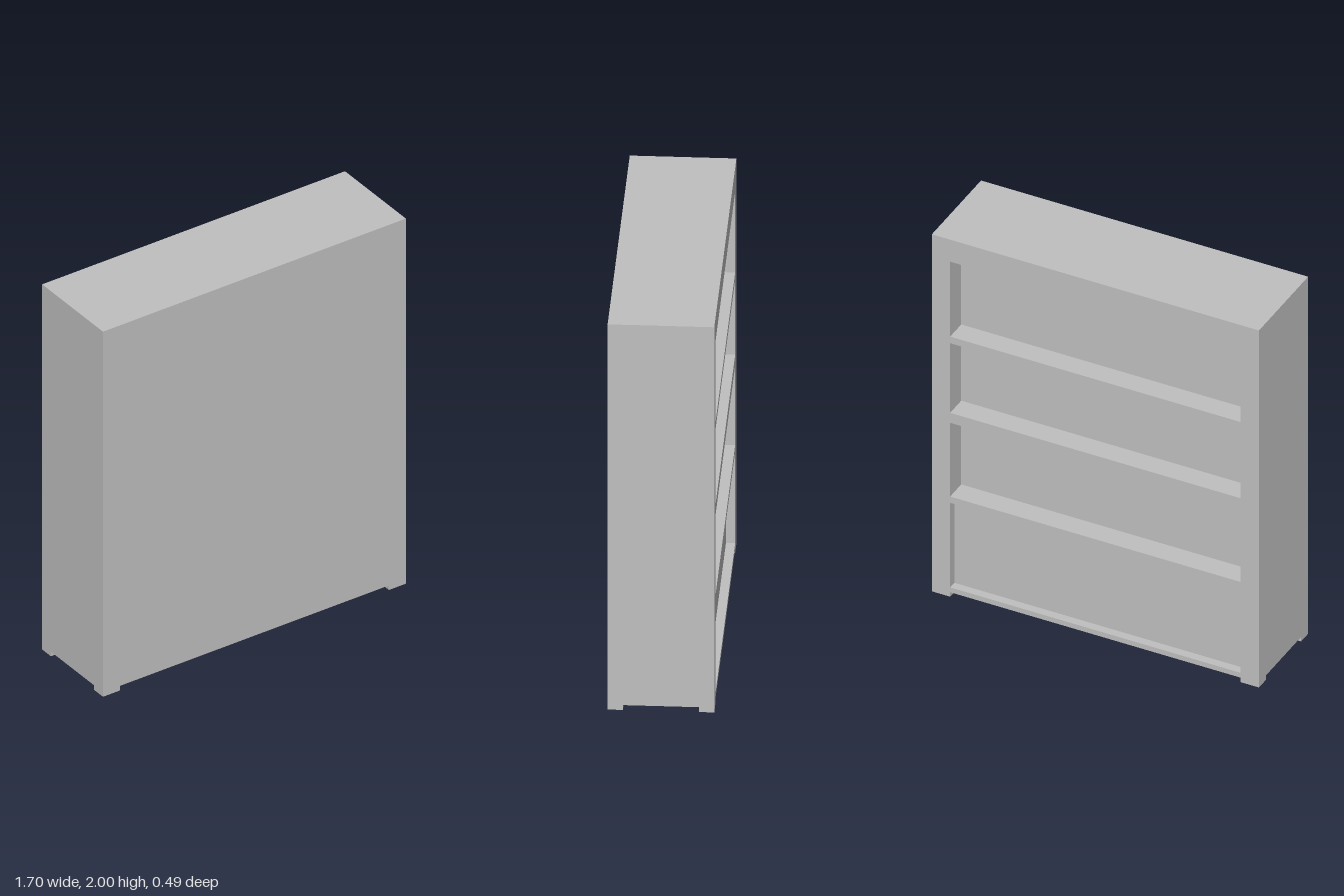
import * as THREE from 'three';

const W = 0.85, D = 0.2465, H = 2;         // half width, half depth, height
const FOOT_W = 0.095, FOOT_D = 0.071, FOOT_H = 0.025;
const INNER = W - FOOT_W;                  // half width of the bays
const BAY_BACK = -0.135;                   // z of the deep bays' inner wall
const LOW_BACK = -0.204;                   // z of the shallow bottom bay's wall
const BAYS = [[0.052, 0.526], [0.561, 0.974], [1.03, 1.42], [1.457, 1.877]];

export function createModel() {
  const group = new THREE.Group();
  const grey = new THREE.MeshStandardMaterial({ color: 0xc0c0c0 });
  grey.name = 'grey';

  const add = (name, geometry) => {
    const mesh = new THREE.Mesh(geometry, grey);
    mesh.name = name;
    group.add(mesh);
    return mesh;
  };

  // Box given by its minimum and maximum corners
  const box = (name, x0, x1, y0, y1, z0, z1) =>
    add(name, new THREE.BoxGeometry(x1 - x0, y1 - y0, z1 - z0))
      .position.set((x0 + x1) / 2, (y0 + y1) / 2, (z0 + z1) / 2);

  const rect = (path, x0, x1, y0, y1) =>
    path.moveTo(x0, y0).lineTo(x1, y0).lineTo(x1, y1).lineTo(x0, y1).closePath();

  // Solid front body
  box('frontBody', -W, W, FOOT_H, H, BAY_BACK, D);

  // Rear frame with its shelves, one opening per bay
  const frame = rect(new THREE.Shape(), -W, W, FOOT_H, H);
  for (const [y0, y1] of BAYS) {
    frame.holes.push(rect(new THREE.Path(), -INNER, INNER, y0, y1));
  }
  add('shelfFrame', new THREE.ExtrudeGeometry(frame, {
    depth: BAY_BACK + D, bevelEnabled: false,
  })).position.z = -D;

  // Panel that makes the bottom bay shallower
  box('lowerPanel', -INNER, INNER, BAYS[0][0], BAYS[0][1], LOW_BACK, BAY_BACK);

  // Corner feet
  for (const sx of [-1, 1]) {
    for (const sz of [-1, 1]) {
      add('foot', new THREE.BoxGeometry(FOOT_W, FOOT_H, FOOT_D)).position.set(
        sx * (W - FOOT_W / 2), FOOT_H / 2, sz * (D - FOOT_D / 2));
    }
  }
  return group;
}
